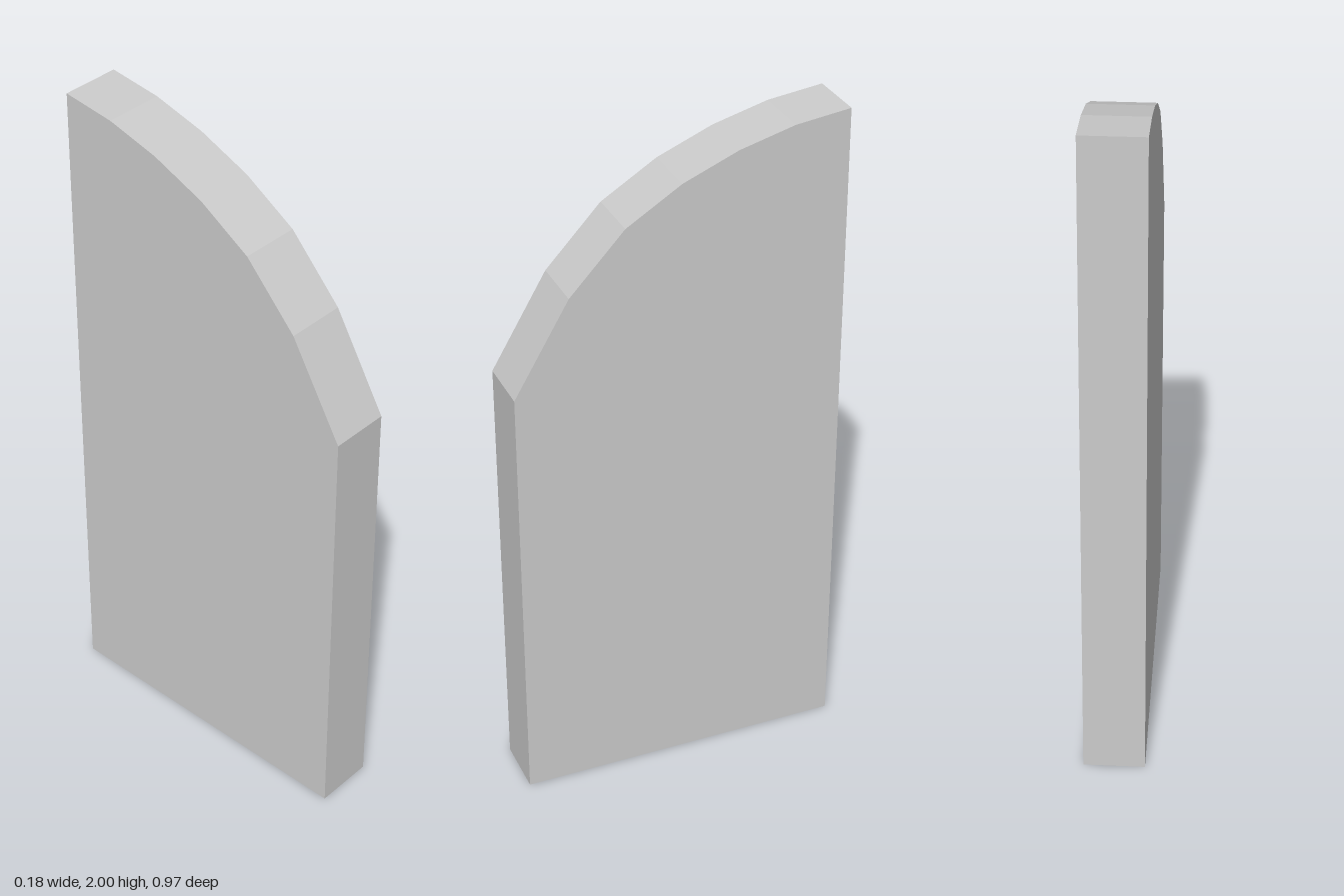
import * as THREE from 'three';

export function createModel() {
  const group = new THREE.Group();
  const half = 0.485, thickness = 0.178;

  // Heights of the faceted curved top at even steps from front to back
  const heights = [1.32, 1.595, 1.768, 1.868, 1.935, 1.979, 2];

  // Side profile, drawn with the front at negative shape x
  const profile = new THREE.Shape();
  profile.moveTo(-half, 0);
  profile.lineTo(half, 0);
  for (let i = heights.length - 1; i >= 0; i--) {
    profile.lineTo(-half + (2 * half * i) / (heights.length - 1), heights[i]);
  }
  profile.closePath();

  // Extrude through the thickness, then turn the front to +z
  const geometry = new THREE.ExtrudeGeometry(profile, { depth: thickness, bevelEnabled: false });
  geometry.translate(0, 0, -thickness / 2);
  geometry.rotateY(Math.PI / 2);

  const panel = new THREE.Mesh(
    geometry,
    new THREE.MeshStandardMaterial({ color: 0xcccccc, flatShading: true })
  );
  panel.name = 'curvedTopPanel';
  group.add(panel);
  return group;
}
